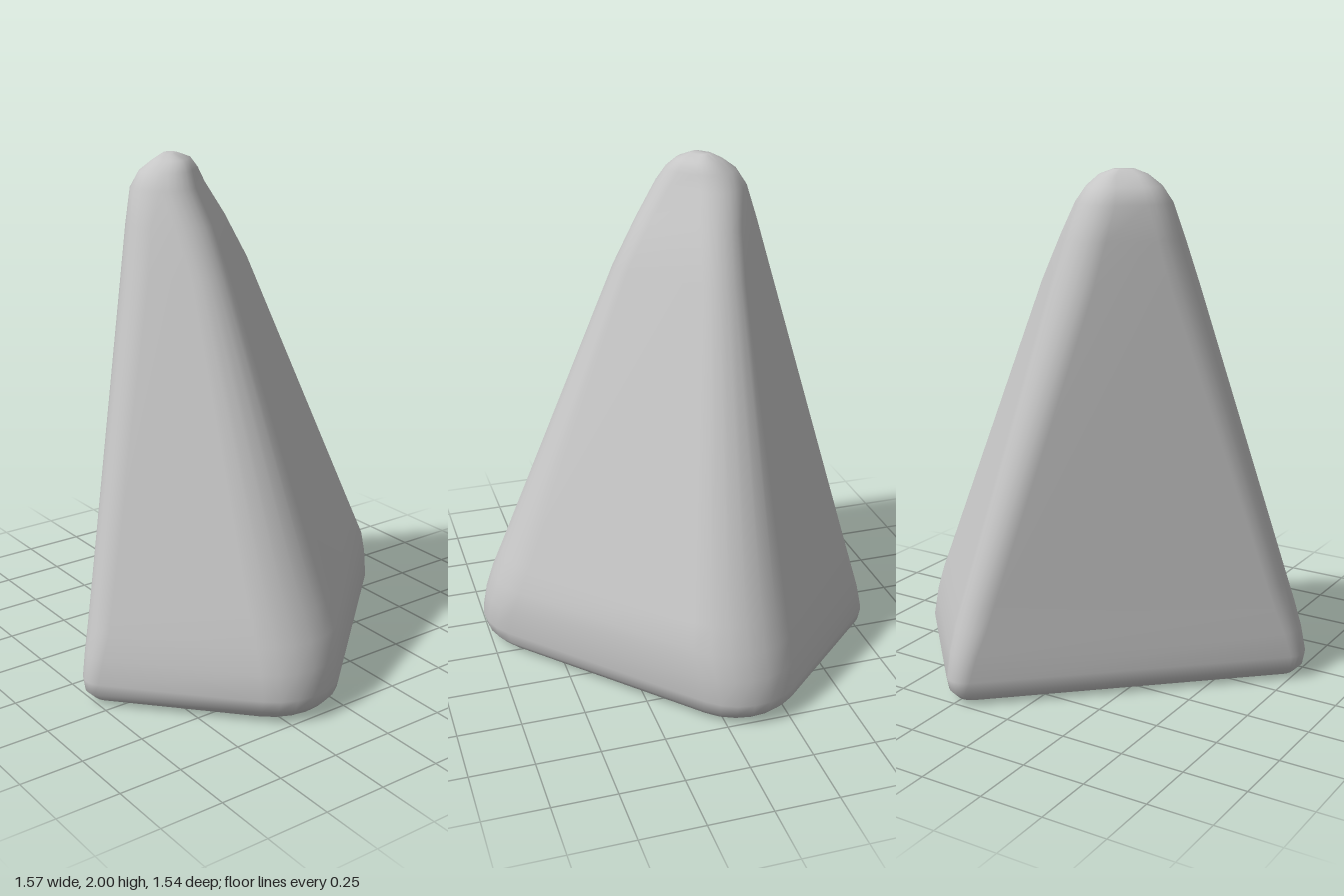
import * as THREE from 'three';

// Cross-sections: height, half width, back z, front z, back corner radius, front corner radius
const SECTIONS = [
  [0.0, 0.63, -0.36, 0.45, 0.04, 0.2],
  [0.015, 0.675, -0.4, 0.49, 0.06, 0.23],
  [0.05, 0.705, -0.425, 0.52, 0.07, 0.25],
  [0.1, 0.715, -0.432, 0.53, 0.08, 0.25],
  [0.2, 0.7, -0.429, 0.527, 0.095, 0.26],
  [0.3, 0.675, -0.425, 0.515, 0.11, 0.27],
  [0.4, 0.644, -0.421, 0.478, 0.112, 0.26],
  [1.57, 0.286, -0.38, 0.045, 0.14, 0.12],
  [1.75, 0.226, -0.372, -0.035, 0.13, 0.115],
  [1.88, 0.18, -0.362, -0.105, 0.12, 0.11],
  [1.94, 0.14, -0.33, -0.125, 0.09, 0.1],
  [1.98, 0.09, -0.28, -0.15, 0.05, 0.06],
  [2.0, 0.04, -0.25, -0.2, 0.02, 0.02],
];
const STEPS = 6;

// Rounded rectangle, walked corner by corner
function ring([y, a, back, front, rBack, rFront]) {
  const corners = [
    [a, front, rFront, 1, 1], [-a, front, rFront, -1, 1],
    [-a, back, rBack, -1, -1], [a, back, rBack, 1, -1],
  ];
  const points = [];
  corners.forEach(([x, z, r, sx, sz], c) => {
    for (let i = 0; i <= STEPS; i++) {
      const t = (c + i / STEPS) * Math.PI / 2;
      points.push(x - sx * r + r * Math.cos(t), y, z - sz * r + r * Math.sin(t));
    }
  });
  return points;
}

function loft(sections) {
  const n = 4 * (STEPS + 1);
  const positions = sections.flatMap(ring);
  const index = [];
  for (let s = 0; s < sections.length - 1; s++) {
    for (let i = 0; i < n; i++) {
      const j = (i + 1) % n;
      const b0 = s * n + i, b1 = s * n + j, t0 = b0 + n, t1 = b1 + n;
      index.push(b0, t0, b1, b1, t0, t1);
    }
  }
  // Top cap shares the last ring so the tip stays smooth
  const last = (sections.length - 1) * n;
  for (let i = 1; i < n - 1; i++) index.push(last, last + i + 1, last + i);
  // Flat underside has its own ring
  const base = positions.length / 3;
  positions.push(...ring(sections[0]));
  for (let i = 1; i < n - 1; i++) index.push(base, base + i, base + i + 1);

  const geometry = new THREE.BufferGeometry();
  geometry.setAttribute('position', new THREE.Float32BufferAttribute(positions, 3));
  geometry.setIndex(index);
  geometry.computeVertexNormals();
  return geometry;
}

export function createModel() {
  const stone = new THREE.MeshStandardMaterial({ color: 0xc6c6c6 });
  stone.name = 'light grey';

  // Tapered block with a steep flat back, turned on its base
  const body = new THREE.Mesh(loft(SECTIONS), stone);
  body.name = 'taperedBlock';
  body.rotation.y = 0.742;

  const model = new THREE.Group();
  model.name = 'roundedPyramid';
  model.add(body);
  return model;
}
